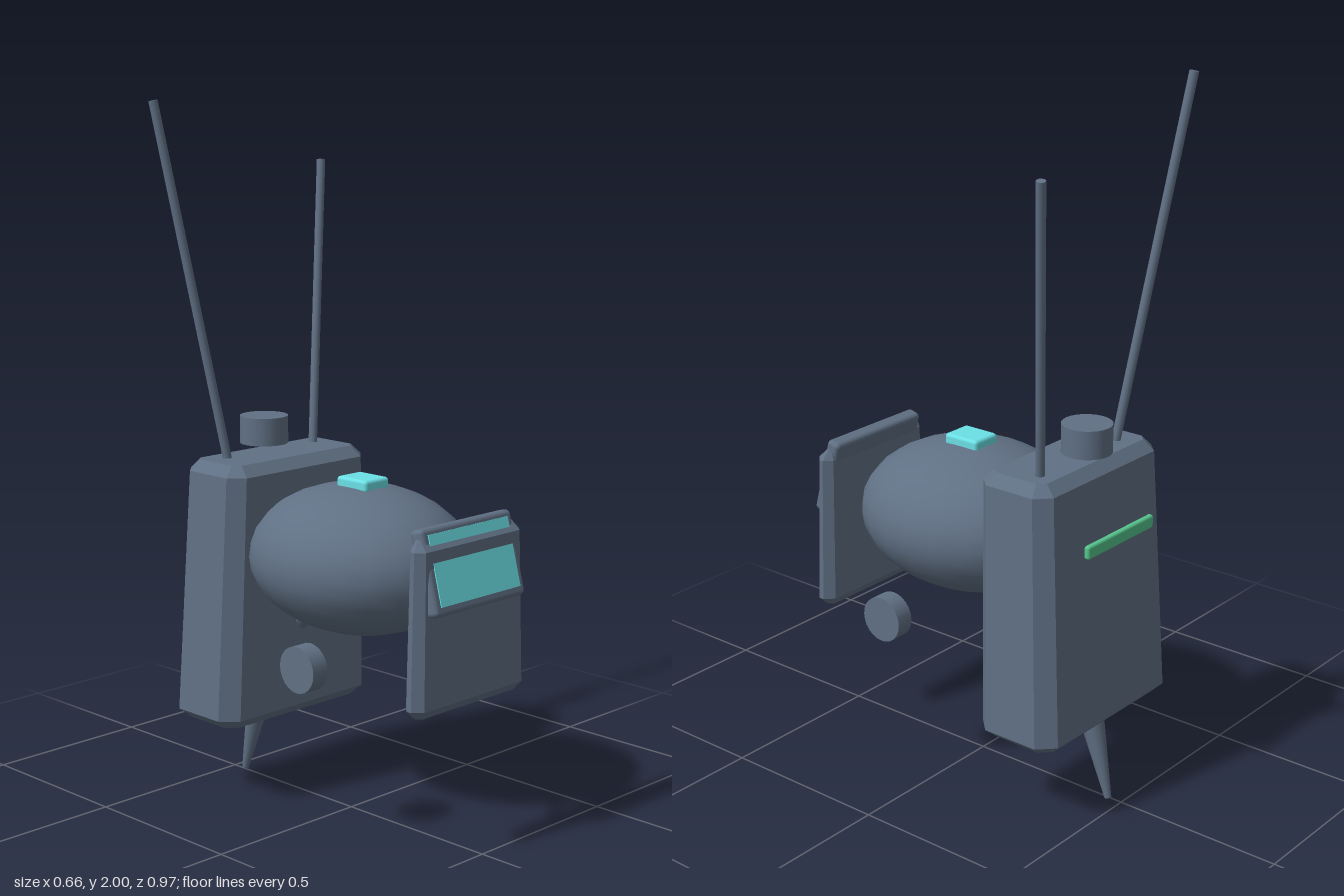
import * as THREE from 'three';
import { RoundedBoxGeometry } from 'three/addons/geometries/RoundedBoxGeometry.js';

const CX = 0.005; // mirror plane of the body

// Chamfered block lofted through rings [y, halfWidth, zBack, zFront, chamfer]
function loft(rings) {
  const loops = rings.map(([y, h, b, f, c]) => [
    [h, f - c], [h, b + c], [h - c, b], [c - h, b],
    [-h, b + c], [-h, f - c], [c - h, f], [h - c, f],
  ].map(([x, z]) => [x, y, z]));
  const pos = [];
  const tri = (...pts) => pts.forEach((p) => pos.push(...p));
  for (let r = 0; r < loops.length - 1; r++) {
    const lo = loops[r], hi = loops[r + 1];
    for (let i = 0; i < 8; i++) {
      const j = (i + 1) % 8;
      tri(lo[i], lo[j], hi[j]);
      tri(lo[i], hi[j], hi[i]);
    }
  }
  const first = loops[0], last = loops[loops.length - 1];
  for (let i = 1; i < 7; i++) {
    tri(first[0], first[i + 1], first[i]);
    tri(last[0], last[i], last[i + 1]);
  }
  const g = new THREE.BufferGeometry();
  g.setAttribute('position', new THREE.Float32BufferAttribute(pos, 3));
  g.computeVertexNormals();
  return g;
}

export function createModel() {
  const model = new THREE.Group();
  model.name = 'droid';

  const paint = (name, color) => {
    const m = new THREE.MeshStandardMaterial({ color });
    m.name = name;
    return m;
  };
  const slate = paint('slateGrey', 0x607084);
  const cyan = paint('cyanGlow', 0x6be0e6);
  const green = paint('greenGlow', 0x55c48c);

  function add(name, geometry, material, x = 0, y = 0, z = 0, parent = model) {
    const mesh = new THREE.Mesh(geometry, material);
    mesh.name = name;
    mesh.position.set(x, y, z);
    parent.add(mesh);
    return mesh;
  }

  // Round bar from a to b, with a radius at each end
  function rod(name, a, b, ra, rb = ra, sides = 12) {
    const from = new THREE.Vector3(...a), to = new THREE.Vector3(...b);
    const dir = to.clone().sub(from);
    const mid = from.clone().add(to).multiplyScalar(0.5);
    const mesh = add(name, new THREE.CylinderGeometry(rb, ra, dir.length(), sides), slate, mid.x, mid.y, mid.z);
    mesh.quaternion.setFromUnitVectors(new THREE.Vector3(0, 1, 0), dir.normalize());
  }

  // Egg-shaped body with a glowing button on top
  add('body', new THREE.SphereGeometry(1, 24, 16), slate, CX, 0.745, 0.03).scale.set(0.29, 0.21, 0.34);
  add('topButton', new RoundedBoxGeometry(0.095, 0.035, 0.115, 2, 0.01), cyan, CX, 0.96, 0.04);

  // Tapered back pack with its light strip
  add('backPack', loft([
    [0.235, 0.255, -0.435, -0.235, 0.03],
    [0.265, 0.29, -0.465, -0.205, 0.045],
    [0.97, 0.265, -0.425, -0.19, 0.04],
    [1.0, 0.235, -0.395, -0.222, 0.02],
  ]), slate, CX);
  add('backLight', new RoundedBoxGeometry(0.295, 0.038, 0.018, 2, 0.007), green, CX, 0.803, -0.475);
  rod('packStrut', [CX, 0.658, -0.1], [CX, 0.487, -0.25], 0.035);

  // Sensor knob, antennas and tail spike on the pack
  add('topKnob', new THREE.CylinderGeometry(0.07, 0.07, 0.08, 24), slate, CX, 1.06, -0.362);
  rod('rightAntenna', [-0.156, 0.98, -0.337], [-0.318, 2.0, -0.447], 0.013);
  rod('leftAntenna', [0.182, 0.98, -0.343], [0.312, 1.82, -0.437], 0.013);
  rod('tailSpike', [CX, 0.26, -0.389], [CX, 0.003, -0.458], 0.038, 0.01, 16);

  // Side discs
  for (const side of [-1, 1]) {
    const disc = add(side < 0 ? 'rightDisc' : 'leftDisc',
      new THREE.CylinderGeometry(0.065, 0.065, 0.053, 24), slate, CX + side * 0.29, 0.5, 0.102);
    disc.rotation.z = Math.PI / 2;
  }

  // Face plate held on a thin arm
  add('facePlate', loft([
    [0.41, 0.195, 0.41, 0.44, 0.012],
    [0.435, 0.221, 0.393, 0.459, 0.025],
    [0.862, 0.208, 0.396, 0.452, 0.022],
    [0.89, 0.185, 0.41, 0.425, 0.006],
  ]), slate, CX);
  rod('faceArm', [-0.12, 0.53, 0.4], [0.015, 0.53, 0.325], 0.011);

  // Tilted visor: frame passing through the plate, with a thin window
  const visor = new THREE.Group();
  visor.name = 'visor';
  visor.position.set(CX, 0.8, 0.434);
  visor.rotation.x = -0.26;
  model.add(visor);
  add('visorFrame', new RoundedBoxGeometry(0.36, 0.235, 0.045, 2, 0.014), slate, 0, 0, 0, visor);
  add('visorWindow', new THREE.BoxGeometry(0.315, 0.192, 0.008), cyan, 0, 0.003, 0.0215, visor);

  return model;
}
